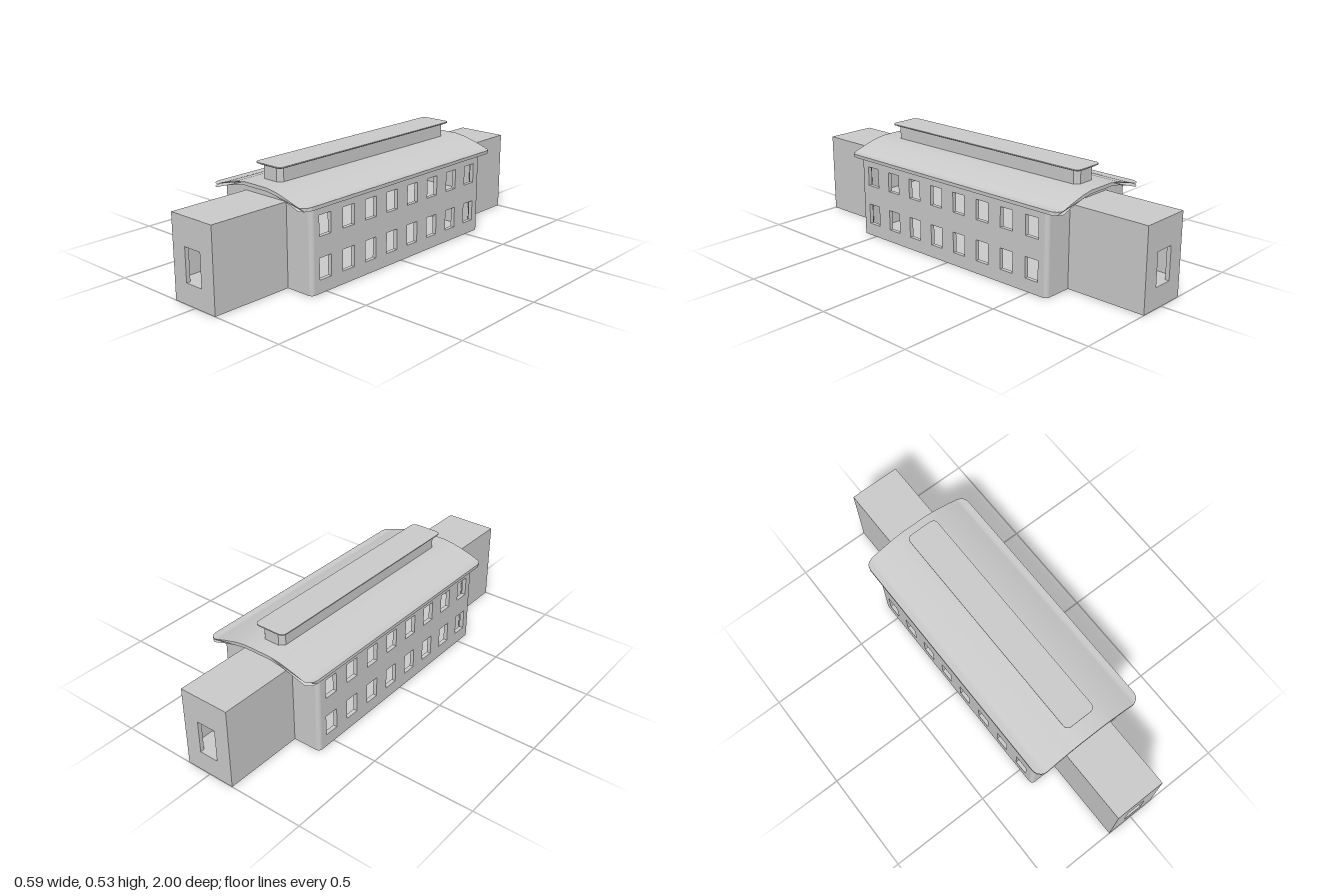
import * as THREE from 'three';
import { toCreasedNormals } from 'three/addons/utils/BufferGeometryUtils.js';

const mat = new THREE.MeshStandardMaterial({ color: 0xcccccc });
const T = 0.02; // wall thickness
const BX = 0.272, ZF = 0.59, ZB = -0.6; // main hall half width, front and back
const WL = -0.13, WR = 0.125, WH = 0.395; // end wings: left, right, height

function add(parent, name, geo) {
  const m = new THREE.Mesh(geo, mat);
  m.name = name;
  parent.add(m);
  return m;
}

// Box given by its min and max corners
function box(parent, name, x0, x1, y0, y1, z0, z1) {
  const m = add(parent, name, new THREE.BoxGeometry(x1 - x0, y1 - y0, z1 - z0));
  m.position.set((x0 + x1) / 2, (y0 + y1) / 2, (z0 + z1) / 2);
  return m;
}

function rect(Type, x0, x1, y0, y1) {
  return new Type([[x0, y0], [x1, y0], [x1, y1], [x0, y1]].map(p => new THREE.Vector2(...p)));
}

const extrude = (shape, depth) =>
  new THREE.ExtrudeGeometry(shape, { depth, bevelEnabled: false, curveSegments: 6 });

// Plan outline with cut or rounded corners, raised to a slab
function planSlab(parent, name, x0, x1, z0, z1, y0, y1, r, round) {
  const s = new THREE.Shape();
  const turn = (cx, cy, x, y) => (round ? s.quadraticCurveTo(cx, cy, x, y) : s.lineTo(x, y));
  const b = -z1, t = -z0;
  s.moveTo(x0 + r, b);
  s.lineTo(x1 - r, b);
  turn(x1, b, x1, b + r);
  s.lineTo(x1, t - r);
  turn(x1, t, x1 - r, t);
  s.lineTo(x0 + r, t);
  turn(x0, t, x0, t - r);
  s.lineTo(x0, b + r);
  turn(x0, b, x0 + r, b);
  const g = extrude(s, y1 - y0).rotateX(-Math.PI / 2);
  add(parent, name, toCreasedNormals(g, 0.6)).position.y = y0;
}

// Arched roof: mirrored profile extruded in z, then corners rounded in plan
function roofGeometry() {
  const half = 0.294, r = 0.045, z0 = -0.67, z1 = 0.65;
  const top = [[0.07, 0.458], [0.125, 0.45], [0.2, 0.43], [0.249, 0.414], [0.26, 0.41],
    [0.272, 0.41], [0.282, 0.41], [0.29, 0.41], [half, 0.41]];
  const right = [...top, ...top.map(([x, y]) => [x, y - 0.016]).reverse()];
  const pts = [...right, ...right.map(([x, y]) => [-x, y]).reverse()];
  const g = extrude(new THREE.Shape(pts.map(p => new THREE.Vector2(...p))), z1 - z0);
  g.translate(0, 0, z0);
  const p = g.attributes.position;
  for (let i = 0; i < p.count; i++) {
    const d = Math.max(0, Math.abs(p.getX(i)) - (half - r));
    const inset = r - Math.sqrt(Math.max(0, r * r - d * d));
    p.setZ(i, p.getZ(i) - Math.sign(p.getZ(i)) * inset);
  }
  return toCreasedNormals(g, 0.6);
}

function buildHall(root) {
  const hall = new THREE.Group();
  hall.name = 'mainHall';
  root.add(hall);
  const top = 0.396, ix = BX - T;

  // Long walls with two rows of eight windows
  const wall = rect(THREE.Shape, -(ZF - T), -(ZB + T), 0, top);
  for (let i = 0; i < 8; i++) {
    const c = -0.505 + i * 0.1455;
    for (const [y0, y1] of [[0.062, 0.163], [0.26, 0.356]])
      wall.holes.push(rect(THREE.Path, c - 0.036, c + 0.036, y0, y1));
  }
  const wallGeo = extrude(wall, T).rotateY(Math.PI / 2);
  add(hall, 'leftWall', wallGeo).position.x = ix;
  add(hall, 'rightWall', wallGeo).position.x = -BX;

  // Gable walls reaching up to the curved roof
  const gable = new THREE.Shape([[-ix, 0], [ix, 0], [ix, 0.398], [0.2, 0.416], [0.125, 0.436],
    [0.07, 0.444], [-0.07, 0.444], [-0.125, 0.436], [-0.2, 0.416], [-ix, 0.398]]
    .map(p => new THREE.Vector2(...p)));
  add(hall, 'frontGable', extrude(gable, T)).position.z = ZF - T;
  add(hall, 'backGable', extrude(gable, T)).position.z = ZB;

  // Rounded corners
  for (const x of [-ix, ix])
    for (const z of [ZF - T, ZB + T])
      add(hall, 'roundedCorner', new THREE.CylinderGeometry(T, T, top, 20)).position.set(x, top / 2, z);

  box(hall, 'groundFloor', -ix, ix, 0, 0.01, ZB + T, ZF - T);
  box(hall, 'upperFloor', -ix, ix, 0.19, 0.2, ZB + T, ZF - T);
  add(hall, 'archedRoof', roofGeometry());
}

function buildWing(root, front) {
  const wing = new THREE.Group();
  wing.name = front ? 'frontWing' : 'backWing';
  root.add(wing);
  const inner = front ? ZF : ZB, s = front ? 1 : -1;
  const part = (name, x0, x1, y0, y1, a, b) =>
    box(wing, name, x0, x1, y0, y1, Math.min(a, b), Math.max(a, b));
  const end = s * (1 - T);
  part('wingSide', WL, WL + T, 0, WH, inner, end);
  part('wingSide', WR - T, WR, 0, WH, inner, end);
  part('wingRoof', WL + T, WR - T, WH - T, WH, inner, end);
  part('wingFloor', WL + T, WR - T, 0, 0.01, inner, end);

  // End wall with its window
  const wall = rect(THREE.Shape, WL, WR, 0, WH);
  wall.holes.push(rect(THREE.Path, -0.052, 0.045, 0.1, 0.26));
  add(wing, 'endWall', extrude(wall, T)).position.z = front ? 1 - T : -1;

  // Stairs from the half landing up to the hall floor
  part('halfLanding', WL + T, WR - T, 0.09, 0.1, end, s * 0.87);
  part('upperLanding', WL + T, WR - T, 0.19, 0.2, inner, s * 0.67);
  for (let i = 0; i < 7; i++) {
    const z = 0.87 - i * 0.0286, y = 0.1 + (i + 1) * 0.0125;
    part('stairStep', -0.0025, WR - T, y - 0.02, y, s * z, s * (z - 0.0286));
  }
}

// Raised roof lantern with an overhanging two-step cap
function buildLantern(root) {
  const g = new THREE.Group();
  g.name = 'roofLantern';
  root.add(g);
  planSlab(g, 'lanternWalls', -0.065, 0.057, -0.583, 0.559, 0.45, 0.521, 0.022, false);
  planSlab(g, 'lanternCornice', -0.075, 0.067, -0.592, 0.568, 0.521, 0.526, 0.026, true);
  planSlab(g, 'lanternCap', -0.085, 0.077, -0.6, 0.577, 0.526, 0.531, 0.03, true);
}

export function createModel() {
  const root = new THREE.Group();
  root.name = 'building';
  buildHall(root);
  buildWing(root, true);
  buildWing(root, false);
  buildLantern(root);
  return root;
}
